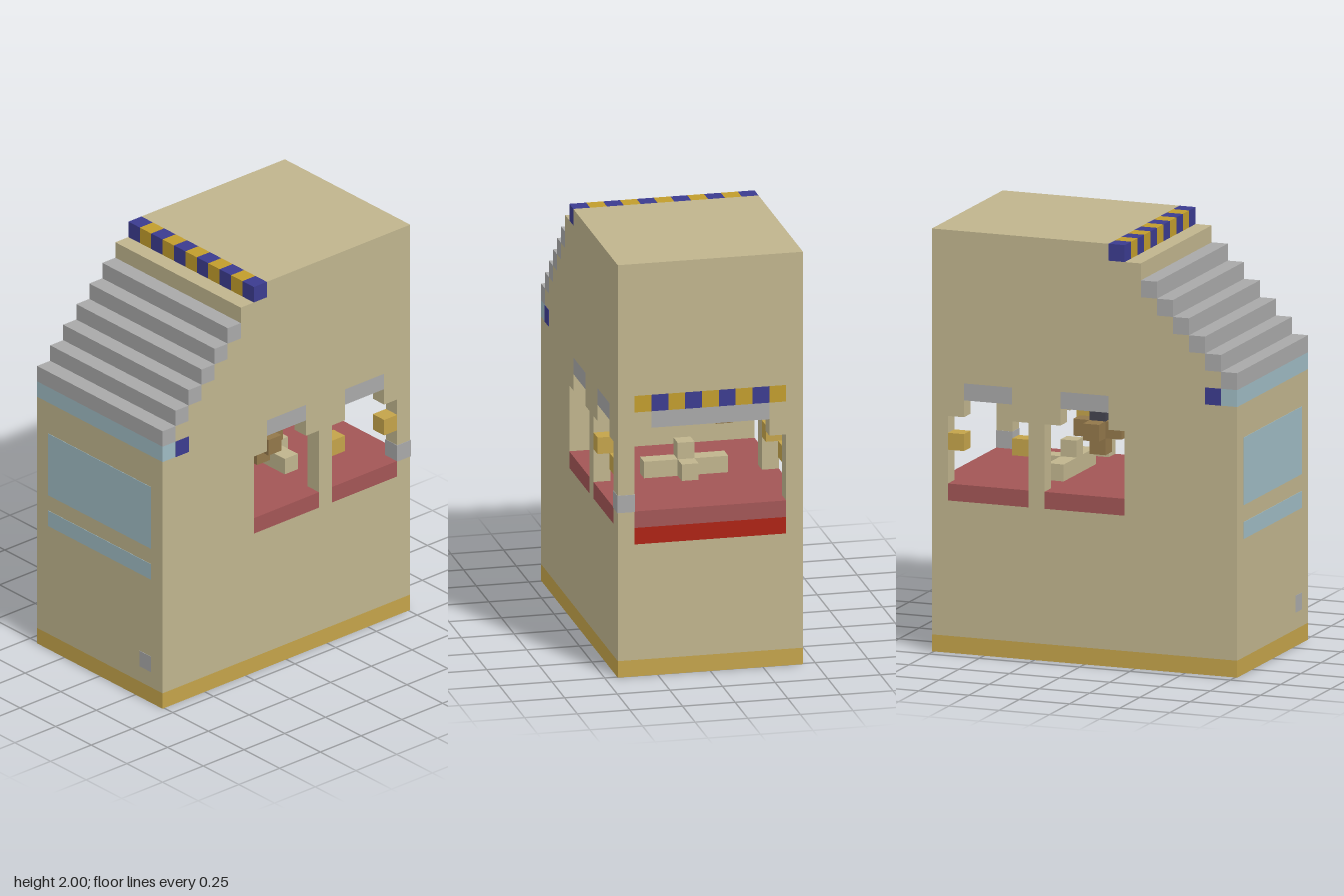
import * as THREE from 'three';

const U = 0.08; // block size

const mat = (name, color) => {
  const m = new THREE.MeshStandardMaterial({ color });
  m.name = name;
  return m;
};

export function createModel() {
  const group = new THREE.Group();
  const tan = mat('tan', 0xbfb48d), ochre = mat('ochre', 0xc3a34a), gold = mat('gold', 0xc19c2c),
    blue = mat('blue', 0x3b3b8f), grey = mat('grey', 0xa8a8a8), paleBlue = mat('paleBlue', 0x9ebac2),
    rose = mat('rose', 0xa25555), red = mat('red', 0xac2010), brown = mat('brown', 0x92774a),
    slate = mat('slate', 0x43434f);

  const add = (name, geometry, material) => {
    const mesh = new THREE.Mesh(geometry, material);
    mesh.name = name;
    group.add(mesh);
    return mesh;
  };
  // box from its lower to its upper limits; grow lets painted plates sit just proud
  const box = (name, material, x0, x1, y0, y1, z0, z1, grow = 0) => {
    const g = 2 * grow;
    add(name, new THREE.BoxGeometry(x1 - x0 + g, y1 - y0 + g, z1 - z0 + g), material)
      .position.set((x0 + x1) / 2, (y0 + y1) / 2, (z0 + z1) / 2);
  };
  const cube = (name, material, x, y, z) =>
    box(name, material, x - U / 2, x + U / 2, y - U / 2, y + U / 2, z - U / 2, z + U / 2);
  const slab = (name, shape, z0, depth) =>
    add(name, new THREE.ExtrudeGeometry(shape, { depth, bevelEnabled: false }).translate(0, 0, z0), tan);

  // stepped outline, from the flat roof down to the low side
  const steps = [[-0.12, 2], [-0.12, 1.92], [-0.28, 1.92], [-0.28, 1.76]];
  for (let i = 0; i < 4; i++) {
    const x = -0.36 - i * U, y = 1.76 - i * U;
    steps.push([x, y], [x, y - U]);
  }
  steps.push([-0.68, 1.44], [-0.68, 1.28], [-0.76, 1.28]);
  const shapeOf = (pts) => new THREE.Shape(pts.map((p) => new THREE.Vector2(...p)));

  // core with the room cut out
  slab('core', shapeOf([[-0.76, 0.08], [0.68, 0.08], [0.68, 0.72], [-0.2, 0.72], [-0.2, 1.28],
    [0.68, 1.28], [0.68, 2], ...steps]), -0.36, 0.72);

  // front and back walls with arched windows
  const windows = [0, 0.48];
  for (const s of [1, -1]) {
    const z0 = s > 0 ? 0.36 : -0.44, z1 = z0 + U;
    const wall = shapeOf([[-0.76, 0.08], [0.76, 0.08], [0.76, 2], ...steps]);
    for (const c of windows) {
      wall.holes.push(new THREE.Path([[-0.2, 0.72], [-0.2, 1.12], [-0.12, 1.12], [-0.12, 1.28],
        [0.12, 1.28], [0.12, 1.12], [0.2, 1.12], [0.2, 0.72]]
        .map(([x, y]) => new THREE.Vector2(x + c, y))));
      box('windowSill', rose, c - 0.2, c + 0.2, 0.72, 0.8, z0, z1);
      box('windowLintel', grey, c - 0.12, c + 0.12, 1.2, 1.28, z0, z1);
    }
    slab(s > 0 ? 'frontWall' : 'backWall', wall, z0, U);
    for (const x of [0.32, 0.64]) cube('windowKnob', ochre, x, 1, s * 0.4);
    box('sideMarker', blue, -0.68, -0.6, 1.28, 1.36, s * 0.44 - 0.002, s * 0.44 + 0.002);
  }

  // base
  box('base', ochre, -0.76, 0.76, 0, 0.08, -0.44, 0.44);

  // open end wall
  box('endWallLower', tan, 0.68, 0.76, 0.08, 0.64, -0.36, 0.36);
  box('redBand', red, 0.68, 0.76, 0.64, 0.72, -0.36, 0.36);
  box('endWallUpper', tan, 0.68, 0.76, 1.36, 2, -0.36, 0.36);
  box('openingLintel', grey, 0.68, 0.76, 1.2, 1.28, -0.28, 0.28);
  for (const s of [1, -1]) {
    box('archCorner', tan, 0.68, 0.76, 1.12, 1.28, s * 0.32 - 0.04, s * 0.32 + 0.04);
  }
  box('cornerPatch', grey, 0.68, 0.76, 0.8, 0.88, 0.36, 0.44, 0.002);

  // room floor and ceiling
  box('floor', rose, -0.2, 0.76, 0.72, 0.8, -0.36, 0.36);
  box('ceiling', grey, -0.2, 0.68, 1.2, 1.28, -0.36, 0.36);

  // striped awning over the opening and striped roof edge
  for (let k = -5; k <= 5; k++) {
    const stripe = k % 2 ? blue : gold, z = k * U;
    if (Math.abs(k) < 5) cube('awningStripe', stripe, 0.72, 1.32, z);
    cube('roofStripe', stripe, -0.16, 1.96, z);
  }

  // grey steps and the pale band below them
  for (let i = 0; i < 6; i++) {
    const x = -0.76 + i * U, y = 1.36 + i * U;
    box('step', grey, x, x + U, y, y + U, -0.44, 0.44);
  }
  box('paleBand', paleBlue, -0.76, -0.68, 1.28, 1.36, -0.44, 0.44);

  // painted panels on the stepped end
  const panel = (name, m, y0, y1, z0, z1) => box(name, m, -0.762, -0.758, y0, y1, z0, z1);
  panel('largePanel', paleBlue, 0.8, 1.12, -0.36, 0.36);
  panel('narrowPanel', paleBlue, 0.64, 0.72, -0.36, 0.36);
  panel('handle', grey, 0.16, 0.24, 0.28, 0.36);

  // hanging lamps
  const plus = [[0, 0], [U, 0], [-U, 0], [0, U], [0, -U]];
  for (const z of [0.24, -0.24]) {
    cube('lampStem', slate, 0, 1.16, z);
    for (const [dx, dz] of plus) cube('lampShade', brown, dx, 1.08, z + dz);
    cube('lampBulb', brown, 0, 1, z);
  }

  // ceiling fan and bench
  for (const [dx, dz] of plus) cube('ceilingFan', tan, 0.24 + dx, 1.16, dz);
  box('bench', tan, 0.2, 0.28, 0.8, 0.88, -0.2, 0.2);
  cube('benchBack', tan, 0.24, 0.92, 0);
  cube('benchSeat', tan, 0.32, 0.84, 0);

  return group;
}
